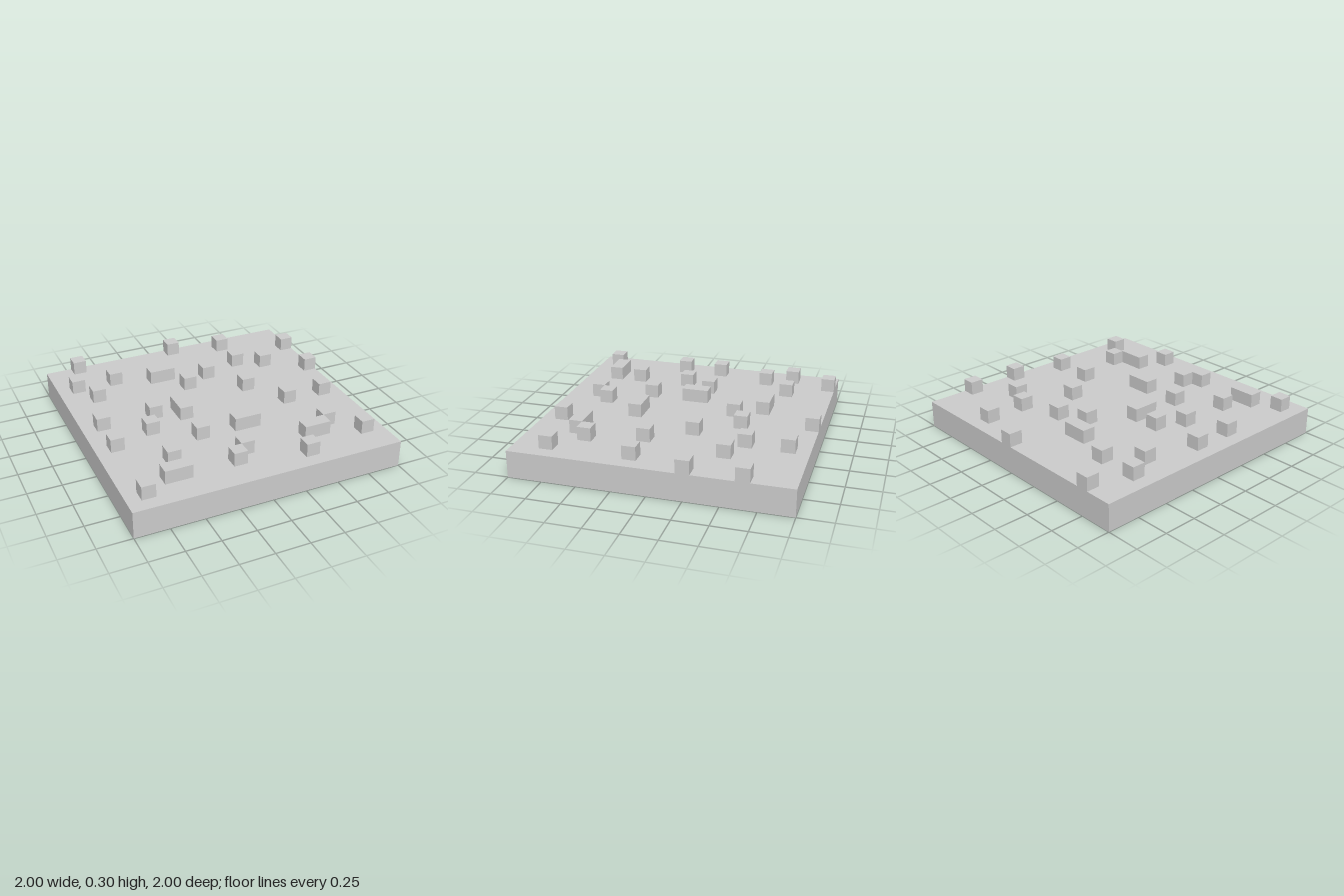
import * as THREE from 'three';

const CELL = 0.1;

// Studs on a 20 x 20 grid: [column, row, columns wide, rows deep], from the back left corner
const STUDS = [
  [2, 0], [10, 0], [14, 1], [1, 3], [4, 3], [19, 3],
  [7, 4, 2], [14, 4], [2, 5], [11, 5], [16, 5], [9, 6],
  [19, 7], [13, 8], [1, 9], [5, 9], [7, 9, 1, 2],
  [4, 11], [15, 11], [18, 11], [1, 12], [7, 13], [10, 13, 2],
  [4, 15], [16, 15], [9, 16], [14, 16, 2],
  [3, 17, 2], [8, 17], [18, 17], [1, 18], [13, 18],
];

export function createModel() {
  const model = new THREE.Group();
  const material = new THREE.MeshStandardMaterial({ color: 0xcccccc, flatShading: true });

  const addBox = (name, parent, w, h, d, x, y, z) => {
    const mesh = new THREE.Mesh(new THREE.BoxGeometry(w, h, d), material);
    mesh.name = name;
    mesh.position.set(x, y, z);
    parent.add(mesh);
  };

  // Square ground slab
  addBox('slab', model, 2, 0.2, 2, 0, 0.1, 0);

  // Scattered raised blocks, one cell high
  const studs = new THREE.Group();
  studs.name = 'raisedBlocks';
  for (const [col, row, wide = 1, deep = 1] of STUDS) {
    addBox('raisedBlock', studs, wide * CELL, CELL, deep * CELL,
      -1 + (col + wide / 2) * CELL, 0.25, -1 + (row + deep / 2) * CELL);
  }
  model.add(studs);

  return model;
}
